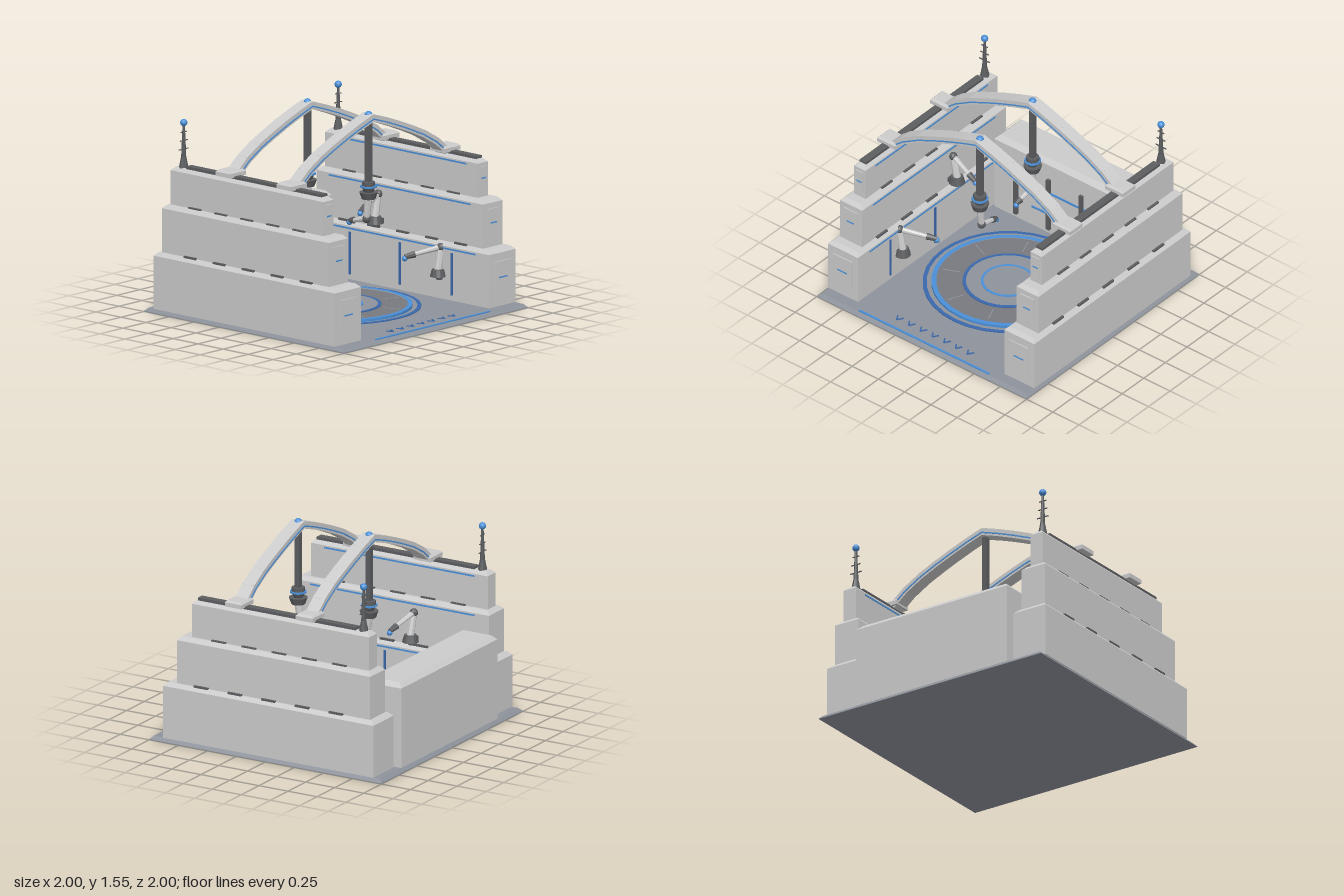
import * as THREE from 'three';

const mat = (color, flatShading = true) => new THREE.MeshStandardMaterial({ color, flatShading });
const grey = mat(0xcccccc), floorGrey = mat(0x8d929b), dark = mat(0x5c5d60), deck = mat(0x77797e);
const blue = mat(0x4a90d9), deepBlue = mat(0x3a68ac), blueBall = mat(0x4a90d9, false);

function add(parent, name, geometry, material, x = 0, y = 0, z = 0) {
  const m = new THREE.Mesh(geometry, material);
  m.name = name;
  m.position.set(x, y, z);
  parent.add(m);
  return m;
}
const box = (p, name, m, w, h, d, x, y, z) => add(p, name, new THREE.BoxGeometry(w, h, d), m, x, y, z);
const ball = (p, name, r, x, y, z) => add(p, name, new THREE.SphereGeometry(r, 16, 12), blueBall, x, y, z);
const drum = (p, name, m, rTop, rBottom, y0, y1, x, z, sides = 12) =>
  add(p, name, new THREE.CylinderGeometry(rTop, rBottom, y1 - y0, sides), m, x, (y0 + y1) / 2, z);

// Block standing on y0 whose top edges are chamfered by c
function block(p, name, m, w, d, y0, y1, c, x, z) {
  const h = y1 - y0, g = new THREE.BoxGeometry(w, h, d, 1, 2, 1), a = g.attributes.position;
  for (let i = 0; i < a.count; i++) {
    if (Math.abs(a.getY(i)) < 1e-6) a.setY(i, h / 2 - c);
    else if (a.getY(i) > 0) {
      a.setX(i, a.getX(i) - Math.sign(a.getX(i)) * c);
      a.setZ(i, a.getZ(i) - Math.sign(a.getZ(i)) * c);
    }
  }
  const flat = g.toNonIndexed();
  flat.computeVertexNormals();
  return add(p, name, flat, m, x, (y0 + y1) / 2, z);
}

// Tapered limb from a to b
function limb(p, name, m, a, b, ra, rb, sides = 8) {
  const dir = b.clone().sub(a);
  const mesh = add(p, name, new THREE.CylinderGeometry(rb, ra, dir.length(), sides), m);
  mesh.position.copy(a).add(b).multiplyScalar(0.5);
  mesh.quaternion.setFromUnitVectors(new THREE.Vector3(0, 1, 0), dir.normalize());
}

// Flat ring lying on the floor
function floorRing(p, name, m, ri, ro, y0, y1) {
  const pts = [[ri, y0], [ro, y0], [ro, y1], [ri, y1]].map(([r, y]) => new THREE.Vector2(r, y));
  add(p, name, new THREE.LatheGeometry(pts, 32), m);
}

// Jointed arm: shoulder, elbow, tip
function armLimbs(p, shoulder, elbow, tip) {
  const wrist = elbow.clone().lerp(tip, 0.72);
  limb(p, 'upperArm', grey, shoulder, elbow, 0.03, 0.024);
  add(p, 'elbowJoint', new THREE.SphereGeometry(0.032, 10, 8), dark).position.copy(elbow);
  limb(p, 'forearm', grey, elbow, wrist, 0.022, 0.016);
  limb(p, 'gripper', dark, wrist, tip, 0.026, 0.018);
  ball(p, 'toolTip', 0.021, tip.x, tip.y - 0.012, tip.z);
}

function buildFloor(root) {
  block(root, 'basePlate', floorGrey, 2, 2, 0, 0.03, 0.025, 0, 0);
  floorRing(root, 'outerRing', deepBlue, 0.6, 0.63, 0.028, 0.036);
  drum(root, 'platform', deck, 0.535, 0.535, 0.028, 0.042, 0, 0, 32);
  floorRing(root, 'platformRing', blue, 0.53, 0.565, 0.028, 0.05);
  drum(root, 'centrePad', floorGrey, 0.32, 0.32, 0.028, 0.045, 0, 0, 32);
  floorRing(root, 'middleRing', deepBlue, 0.31, 0.335, 0.03, 0.049);
  floorRing(root, 'innerRing', blue, 0.18, 0.2, 0.03, 0.049);
  for (let i = 0; i < 8; i++) {
    const a = (i + 0.5) * Math.PI / 4;
    box(root, 'radialLine', floorGrey, 0.13, 0.006, 0.008, 0.435 * Math.cos(a), 0.043, 0.435 * Math.sin(a)).rotation.y = -a;
  }
  box(root, 'entryStrip', blue, 1.24, 0.012, 0.016, 0, 0.032, 0.967);
  for (let i = -3; i <= 3; i++)
    for (const s of [-1, 1])
      box(root, 'chevron', deepBlue, 0.054, 0.008, 0.01, i * 0.112 + s * 0.014, 0.032, 0.857).rotation.y = s * 1.02;
}

function buildBackWall(root) {
  block(root, 'backWall', grey, 1.36, 0.31, 0.03, 0.68, 0.035, 0, -0.822);
  for (const x of [-0.465, -0.155, 0.155, 0.465]) box(root, 'wallRib', dark, 0.03, 0.45, 0.025, x, 0.295, -0.656);
  box(root, 'wallLight', blue, 0.93, 0.015, 0.01, 0, 0.395, -0.664);
  box(root, 'wallLight', blue, 0.64, 0.015, 0.01, 0, 0.2, -0.664);
}

function buildSideWall(root, s) {
  const wall = new THREE.Group(), cx = s * 0.84;
  wall.name = s > 0 ? 'leftWall' : 'rightWall';
  root.add(wall);
  // half width, bottom, top, back, front, panel half width, panel bottom, panel top, light width
  const tiers = [
    [0.143, 0.03, 0.46, -0.92, 0.89, 0.09, 0.12, 0.37, 0.09],
    [0.105, 0.46, 0.82, -0.87, 0.795, 0.065, 0.53, 0.75, 0.066],
    [0.055, 0.82, 1.105, -0.83, 0.695, 0.034, 0.87, 1.05, 0.046],
  ];
  tiers.forEach(([hw, y0, y1, z0, z1, pw, p0, p1, lw], i) => {
    block(wall, 'wallTier', grey, hw * 2, z1 - z0, y0, y1, 0.028, cx, (z0 + z1) / 2);
    box(wall, 'frontPanel', grey, pw * 2, p1 - p0, 0.016, cx, (p0 + p1) / 2, z1);
    box(wall, 'panelLight', blue, lw, 0.01, 0.006, cx, (p0 + p1) / 2 + 0.003, z1 + 0.009);
    box(wall, 'innerLight', blue, 0.008, 0.012, (z1 - z0) * 0.85, cx - s * hw, y1 - 0.045, (z0 + z1) / 2);
    // Vents lying on the ledge beneath the upper tiers
    if (i > 0) for (let k = -2; k <= 2; k++)
      for (const side of [-1, 1])
        box(wall, 'ledgeVent', dark, 0.02, 0.014, 0.12, cx + side * (hw + 0.008), y0 + 0.003, k * (i === 1 ? 0.29 : 0.26) - 0.06 * (i - 1));
  });
  for (const z of [0.52, 0, -0.5]) box(wall, 'innerStrip', deepBlue, 0.016, 0.32, 0.016, cx - s * 0.145, 0.23, z);
  box(wall, 'topRail', dark, 0.06, 0.022, 1.36, cx, 1.112, -0.02);

  // Mast with cross bars
  drum(wall, 'mastBase', dark, 0.02, 0.036, 1.1, 1.18, cx, -0.75, 8);
  drum(wall, 'mast', dark, 0.009, 0.019, 1.18, 1.42, cx, -0.75, 8);
  [[1.24, 0.1], [1.305, 0.08], [1.37, 0.06]].forEach(([y, w]) => box(wall, 'mastBar', dark, w, 0.006, 0.008, cx, y, -0.75));
  ball(wall, 'mastBeacon', 0.027, cx, 1.44, -0.75);

  // Two wall-mounted arms
  const arms = [
    { y: 0.19, z: 0.4, elbow: [0.705, 0.415, 0.4], tip: [0.462, 0.36, 0.262] },
    { y: 0.49, z: -0.23, elbow: [0.715, 0.715, -0.235], tip: [0.46, 0.632, -0.182] },
  ];
  for (const { y, z, elbow, tip } of arms) {
    const arm = new THREE.Group(), x = s * 0.675;
    arm.name = 'wallArm';
    wall.add(arm);
    box(arm, 'armBracket', dark, 0.09, 0.04, 0.07, s * 0.71, y + 0.025, z);
    drum(arm, 'armFoot', dark, 0.03, 0.026, y - 0.015, y + 0.01, x + s * 0.015, z);
    drum(arm, 'armBase', dark, 0.046, 0.062, y + 0.01, y + 0.065, x, z);
    const flip = ([px, py, pz]) => new THREE.Vector3(s * px, py, pz);
    armLimbs(arm, new THREE.Vector3(x, y + 0.06, z), flip(elbow), flip(tip));
  }
}

function buildArch(root, z, inward) {
  const arch = new THREE.Group();
  arch.name = 'arch';
  root.add(arch);
  const path = [[0.8, 1.125], [0.69, 1.215], [0.55, 1.295], [0.415, 1.355], [0.28, 1.41], [0.14, 1.462], [0, 1.508]];
  for (const s of [-1, 1]) {
    block(arch, 'archFoot', grey, 0.17, 0.145, 1.115, 1.162, 0.015, s * 0.835, z);
    for (let i = 0; i < path.length - 1; i++) {
      const [x0, y0] = path[i], [x1, y1] = path[i + 1];
      const len = Math.hypot(x1 - x0, y1 - y0), mx = s * (x0 + x1) / 2, my = (y0 + y1) / 2;
      const angle = Math.atan2(y1 - y0, s * (x1 - x0));
      box(arch, 'archSegment', grey, len + 0.012, 0.055, 0.104, mx, my, z).rotation.z = angle;
      box(arch, 'archLight', blue, len, 0.01, 0.112, mx, my - 0.008, z).rotation.z = angle;
    }
  }
  ball(arch, 'apexLamp', 0.03, 0, 1.522, z);

  // Hanging arm under the apex, reaching to the centre
  const arm = new THREE.Group();
  arm.name = 'hangingArm';
  arch.add(arm);
  box(arm, 'hangerRod', dark, 0.04, 0.48, 0.04, 0, 1.25, z);
  drum(arm, 'hangerHousing', dark, 0.05, 0.05, 0.985, 1.02, 0, z);
  drum(arm, 'hangerRing', blue, 0.062, 0.062, 0.978, 0.99, 0, z, 16);
  drum(arm, 'hangerNeck', dark, 0.052, 0.034, 0.94, 0.98, 0, z);
  drum(arm, 'armBase', dark, 0.07, 0.052, 0.89, 0.942, 0, z);
  armLimbs(arm, new THREE.Vector3(0, 0.9, z), new THREE.Vector3(0, 0.735, z + inward * 0.02), new THREE.Vector3(0, 0.695, z + inward * 0.19));
}

export function createModel() {
  const root = new THREE.Group();
  root.name = 'workshopBay';
  buildFloor(root);
  buildBackWall(root);
  for (const s of [-1, 1]) buildSideWall(root, s);
  buildArch(root, 0.325, -1);
  buildArch(root, -0.285, 1);
  return root;
}
